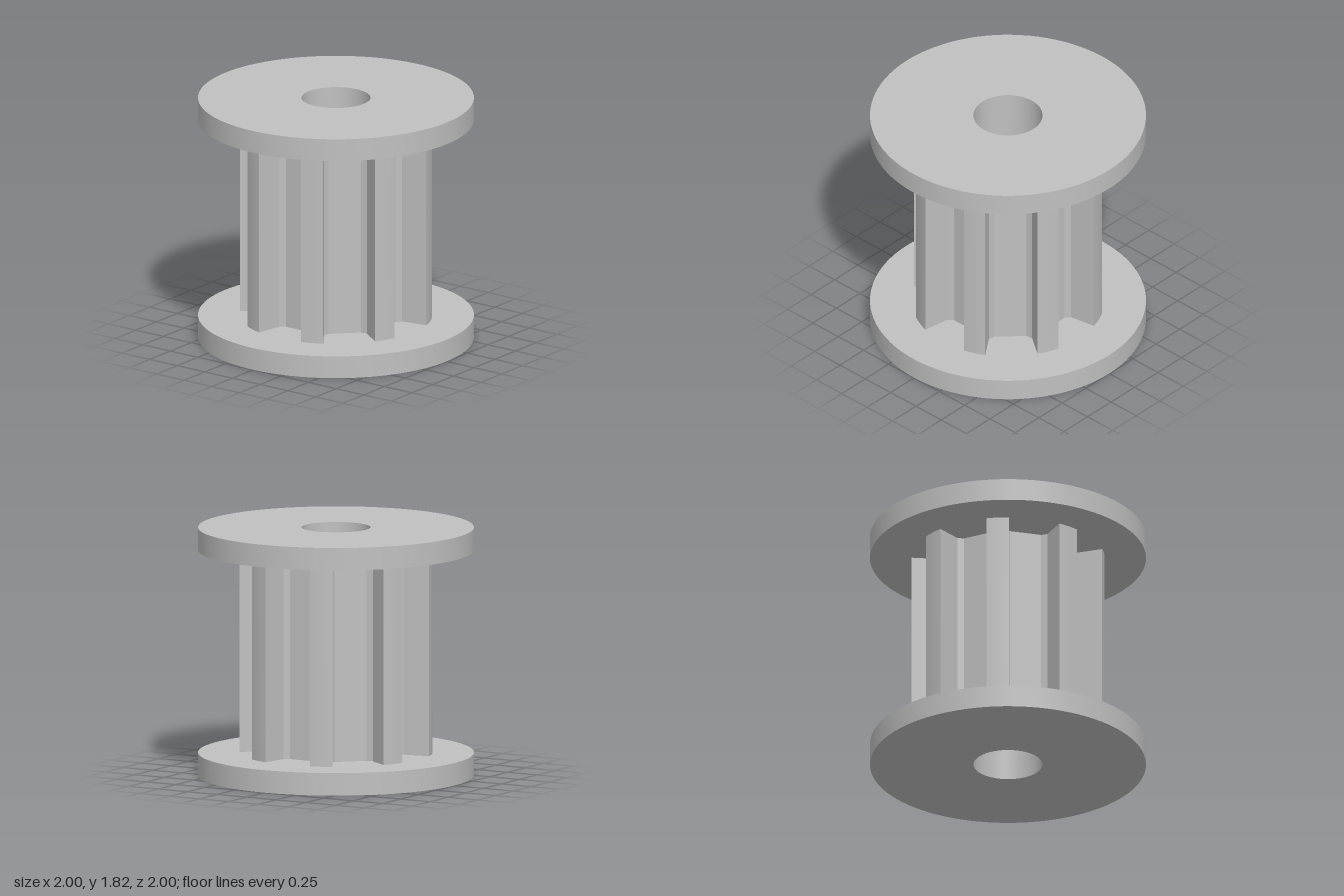
import * as THREE from 'three';
import { toCreasedNormals } from 'three/addons/utils/BufferGeometryUtils.js';

const HEIGHT = 1.815, FLANGE = 0.165, BORE = 0.25;
const TEETH = 8, TIP_RADIUS = 0.7;

// Extrude an outline with the central bore upward along y
function boredSolid(shape, height) {
  const bore = new THREE.Path();
  bore.absarc(0, 0, BORE, 0, Math.PI * 2, true);
  shape.holes.push(bore);
  const geometry = new THREE.ExtrudeGeometry(shape, { depth: height, bevelEnabled: false, curveSegments: 48 });
  geometry.rotateX(-Math.PI / 2);
  return toCreasedNormals(geometry, 0.35);
}

// Toothed outline: chamfered grooves between curved tooth tips
function toothedShape() {
  const tip = Math.asin(0.19 / TIP_RADIUS);
  const step = (Math.PI * 2) / TEETH;
  const groove = [[0.478, -0.157], [0.448, -0.118], [0.448, 0.118], [0.478, 0.157]];
  const points = [];
  for (let i = 0; i < TEETH; i++) {
    const a = i * step, c = Math.cos(a), s = Math.sin(a);
    for (const [d, u] of groove) points.push(new THREE.Vector2(d * c - u * s, d * s + u * c));
    for (let k = 0; k <= 4; k++) {
      const t = a + tip + (step - 2 * tip) * (k / 4);
      points.push(new THREE.Vector2(TIP_RADIUS * Math.cos(t), TIP_RADIUS * Math.sin(t)));
    }
  }
  return new THREE.Shape(points);
}

export function createModel() {
  const group = new THREE.Group();
  group.name = 'toothedPulley';
  const metal = new THREE.MeshStandardMaterial({ color: 0xc0c0c0 });
  metal.name = 'light grey';

  const add = (name, geometry, y) => {
    const mesh = new THREE.Mesh(geometry, metal);
    mesh.name = name;
    mesh.position.y = y;
    group.add(mesh);
  };

  // Flanges at both ends
  const disc = new THREE.Shape();
  disc.absarc(0, 0, 1, 0, Math.PI * 2, false);
  const flange = boredSolid(disc, FLANGE);
  add('bottomFlange', flange, 0);
  add('topFlange', flange, HEIGHT - FLANGE);

  // Toothed drum between the flanges
  add('toothedDrum', boredSolid(toothedShape(), HEIGHT - 2 * FLANGE), FLANGE);

  return group;
}
